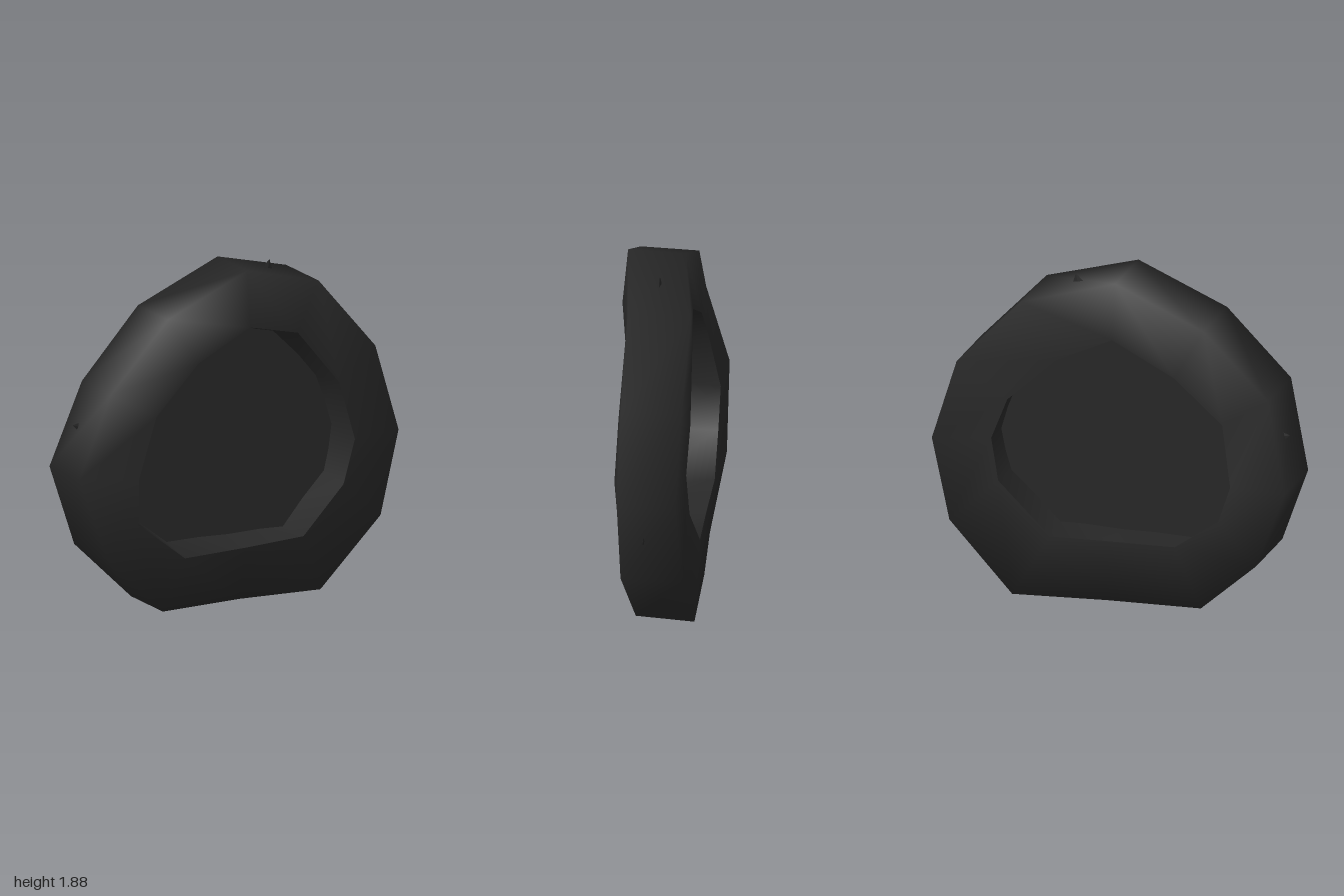
import * as THREE from 'three';

// Twelve stations clockwise from the top, [x, y, z] on each ring of the sagging tyre
const innerFront = [
  [0, 1.575, 0.22], [0.34, 1.475, 0.14], [0.6, 1.16, 0.13], [0.692, 0.835, 0.135],
  [0.625, 0.595, 0.13], [0.38, 0.345, 0.13], [0, 0.35, 0.175], [-0.395, 0.36, 0.215],
  [-0.67, 0.58, 0.2], [-0.71, 0.85, 0.27], [-0.6, 1.18, 0.265], [-0.33, 1.43, 0.243],
];
const outerFront = [
  [0, 1.88, 0.19], [0.49, 1.73, 0.1], [0.855, 1.31, 0.07], [1, 0.825, 0.065],
  [0.89, 0.37, 0.065], [0.53, 0.01, 0.05], [0, 0.05, 0.105], [-0.51, 0.075, 0.18],
  [-0.84, 0.405, 0.165], [-1, 0.86, 0.14], [-0.86, 1.335, 0.235], [-0.5, 1.69, 0.215],
];
const outerBackZ = [-0.12, -0.24, -0.255, -0.25, -0.27, -0.265, -0.22, -0.155, -0.185, -0.17, -0.07, -0.1];
const outerBack = outerFront.map(([x, y], i) => [x, i === 5 ? 0 : y, outerBackZ[i]]);
const innerBack = [
  [0, 1.565, -0.16], [0.3, 1.41, -0.21], [0.565, 1.14, -0.25], [0.66, 0.89, -0.245],
  [0.615, 0.65, -0.255], [0.315, 0.38, -0.255], [0, 0.405, -0.23], [-0.38, 0.435, -0.205],
  [-0.62, 0.62, -0.18], [-0.69, 0.84, -0.18], [-0.62, 1.17, -0.125], [-0.35, 1.4, -0.14],
];

// Smooth closed bands between successive rings
function loft(rings) {
  const n = rings[0].length;
  const index = [];
  for (let r = 0; r < rings.length - 1; r++) {
    for (let i = 0; i < n; i++) {
      const j = (i + 1) % n;
      const a = r * n + i, b = r * n + j, c = a + n, d = b + n;
      index.push(a, b, c, b, d, c);
    }
  }
  const geometry = new THREE.BufferGeometry();
  geometry.setAttribute('position', new THREE.Float32BufferAttribute(rings.flat(2), 3));
  geometry.setIndex(index);
  geometry.computeVertexNormals();
  return geometry;
}

export function createModel() {
  const group = new THREE.Group();
  group.name = 'wornTyre';
  const rubber = new THREE.MeshStandardMaterial({ color: 0x282828, side: THREE.DoubleSide });
  rubber.name = 'dark rubber';

  const add = (name, geometry) => {
    const mesh = new THREE.Mesh(geometry, rubber);
    mesh.name = name;
    group.add(mesh);
    return mesh;
  };

  // Side walls and tread share normals; the bead wall meets them at a sharp edge
  add('tyreBody', loft([innerFront, outerFront, outerBack, innerBack]));
  add('innerWall', loft([innerBack, innerFront]));

  // Single tilted sheet closing the hole, its rim buried in the tyre
  const outline = innerFront.map(([x, y], i) => new THREE.Vector2(
    (x + innerBack[i][0]) / 2 * 1.03,
    0.95 + ((y + innerBack[i][1]) / 2 - 0.95) * 1.03,
  ));
  const sheet = new THREE.ShapeGeometry(new THREE.Shape(outline));
  const points = sheet.attributes.position;
  for (let i = 0; i < points.count; i++) {
    points.setZ(i, -0.035 - 0.065 * points.getX(i) - 0.04 * (points.getY(i) - 0.85));
  }
  sheet.computeVertexNormals();
  add('hubSheet', sheet);

  // Small flat nubs poking through the tread: x, y, z, outward turn
  const nubs = [
    [0.255, 1.81, -0.03, -0.25],
    [-0.917, 1.11, 0, 1.3],
    [0.947, 0.62, -0.07, -1.85],
  ];
  for (const [x, y, z, turn] of nubs) {
    const nub = add('treadNub', new THREE.ConeGeometry(0.05, 0.08, 4).toNonIndexed());
    nub.geometry.computeVertexNormals();
    nub.position.set(x, y, z);
    nub.rotation.z = turn;
    nub.scale.z = 0.2;
  }
  return group;
}
